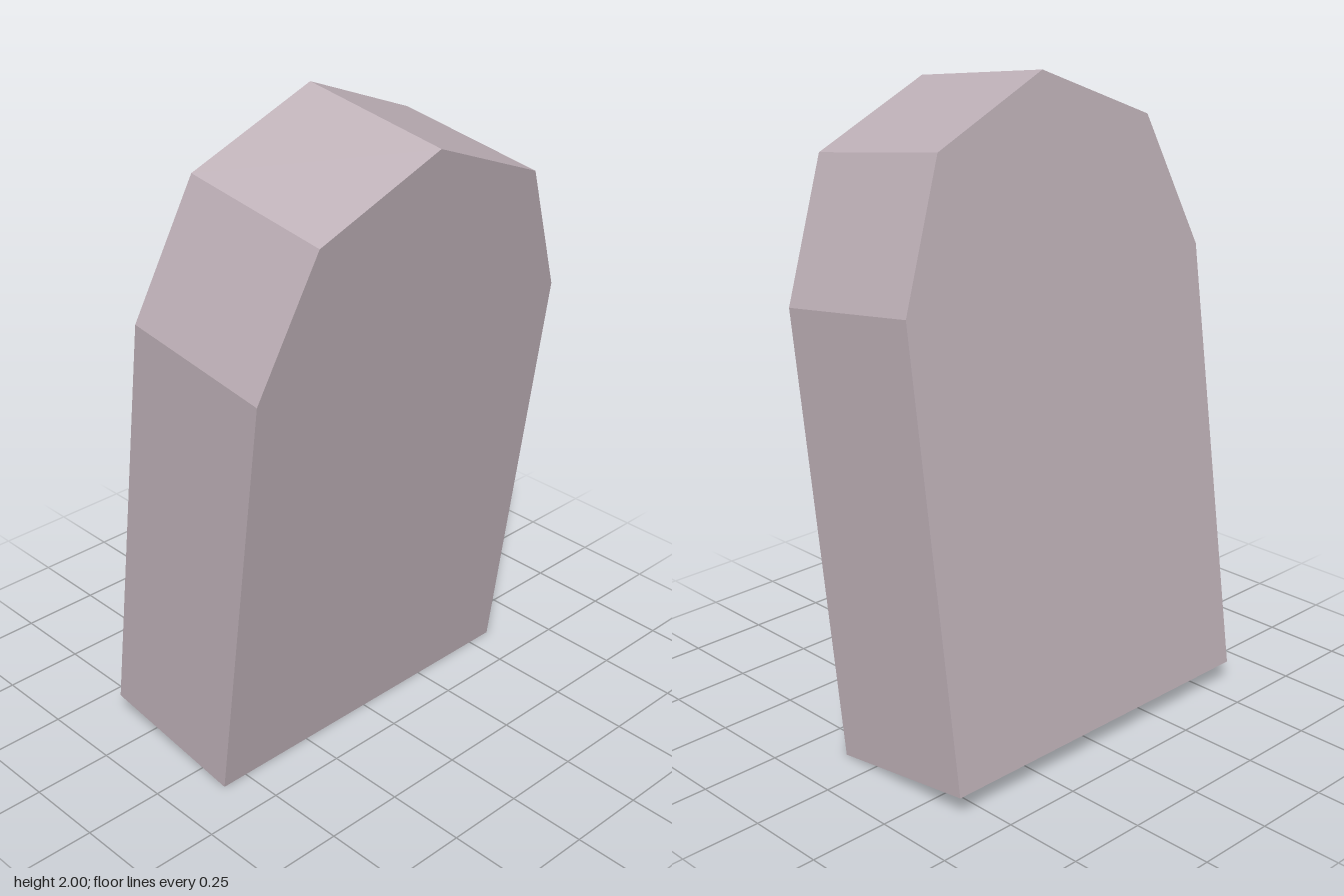
import * as THREE from 'three';

export function createModel() {
  const group = new THREE.Group();
  group.name = 'leaningSlab';
  const stone = new THREE.MeshStandardMaterial({ color: 0xbfb1b8 });
  stone.name = 'mauve stone';

  const radius = 0.585, shoulder = 1.363, depth = 0.505, lean = THREE.MathUtils.degToRad(8);

  // Straight sides topped by a four-sided arch
  const outline = new THREE.Shape();
  outline.moveTo(-radius, 0);
  outline.lineTo(radius, 0);
  for (let i = 0; i <= 4; i++) {
    const a = (i * Math.PI) / 4;
    outline.lineTo(radius * Math.cos(a), shoulder + radius * Math.sin(a));
  }
  outline.closePath();

  const geometry = new THREE.ExtrudeGeometry(outline, { depth, bevelEnabled: false });
  geometry.translate(0, 0, -depth / 2);

  // Tilted forward, resting on its lower front edge
  const slab = new THREE.Mesh(geometry, stone);
  slab.name = 'archedSlab';
  slab.rotation.x = lean;
  slab.position.set(0, (depth / 2) * Math.sin(lean), -((shoulder + radius) / 2) * Math.sin(lean));
  group.add(slab);
  return group;
}
